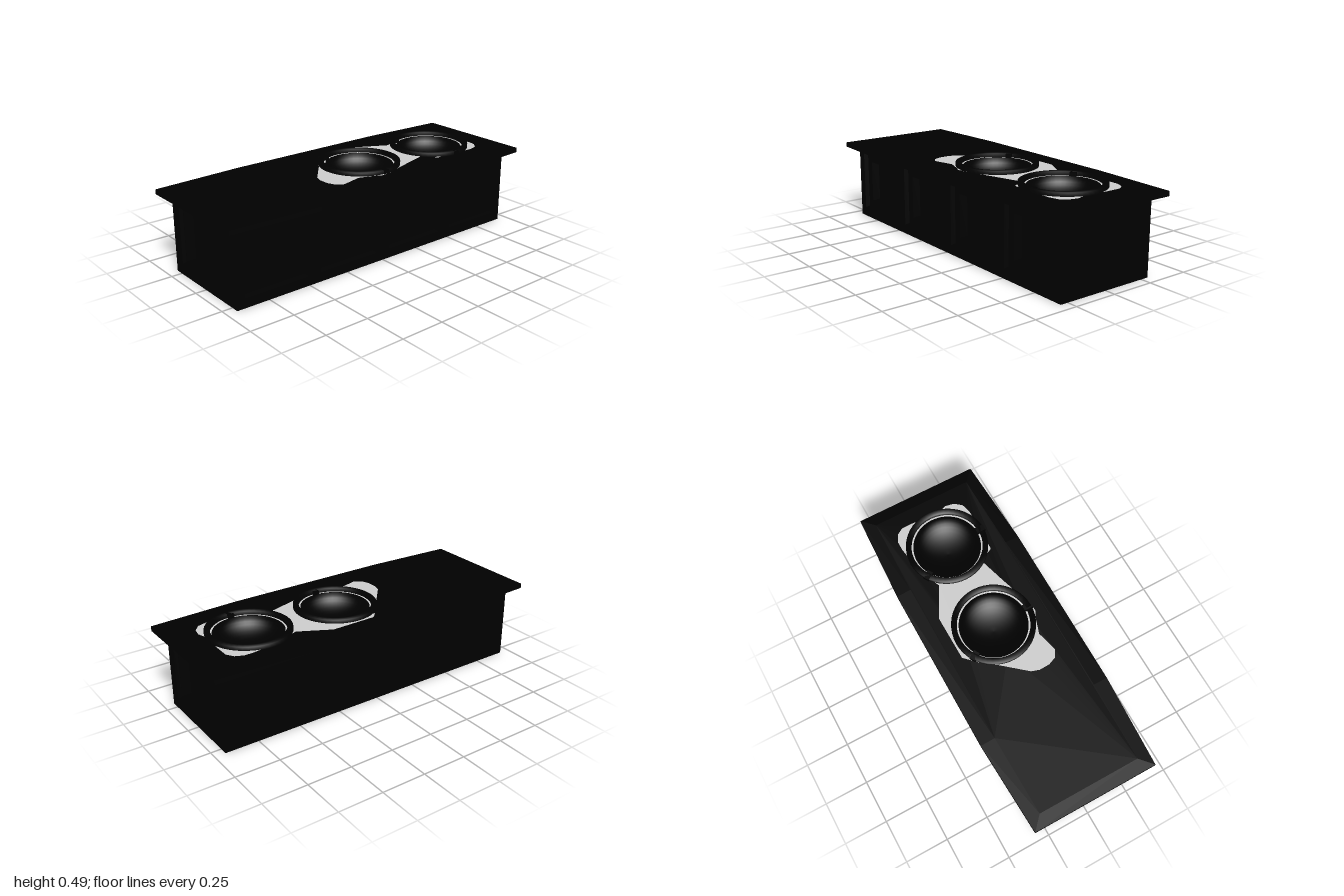
import * as THREE from 'three';

const black = new THREE.MeshStandardMaterial({ color: 0x000000, side: THREE.DoubleSide });
const grey = new THREE.MeshStandardMaterial({ color: 0xcccccc, side: THREE.DoubleSide });
const BOWLS = [0.075, 0.615];
const BOWL_R = 0.19;
const D = 0.07; // depth of the panelled faces

function add(parent, name, geometry, material = black) {
  const mesh = new THREE.Mesh(geometry, material);
  mesh.name = name;
  parent.add(mesh);
  return mesh;
}

// Polygon from [x, z] points, laid flat later with z pointing down the page
const planShape = (pts) => new THREE.Shape(pts.map(([x, z]) => new THREE.Vector2(x, -z)));

function cutBowls(shape) {
  for (const x of BOWLS) shape.holes.push(new THREE.Path().absarc(x, 0, BOWL_R, 0, Math.PI * 2, true));
  return shape;
}

// Quad strips joining rings of [x, y, z] corners
function loft(rings) {
  const pos = [];
  for (let l = 0; l < rings.length - 1; l++) {
    const [a, b] = [rings[l], rings[l + 1]];
    for (let i = 0; i < a.length; i++) {
      const j = (i + 1) % a.length;
      pos.push(...a[i], ...a[j], ...b[j], ...a[i], ...b[j], ...b[i]);
    }
  }
  const g = new THREE.BufferGeometry();
  g.setAttribute('position', new THREE.Float32BufferAttribute(pos, 3));
  g.computeVertexNormals();
  return g;
}

// Corners of a w by h rectangle
const corners = (cx, cy, w, h) => [[-1, -1], [1, -1], [1, 1], [-1, 1]].map(([i, j]) => [cx + i * w / 2, cy + j * h / 2]);

// Flat face at z = 0 with openings, each sinking through stepped [inset, z] levels
function panelledFace(name, width, centres, cy, w, h, steps) {
  const group = new THREE.Group();
  group.name = name;
  const toVectors = (pts) => pts.map(([x, y]) => new THREE.Vector2(x, y));
  const face = new THREE.Shape(toVectors(corners(0, 0.2125, width, 0.425)));
  for (const x of centres) {
    face.holes.push(new THREE.Path(toVectors(corners(x, cy, w, h))));
    const rings = steps.map(([inset, z]) => corners(x, cy, w - 2 * inset, h - 2 * inset).map((p) => [...p, z]));
    add(group, name + 'Moulding', loft(rings));
    const [inset, z] = steps[steps.length - 1];
    add(group, name + 'Panel', new THREE.PlaneGeometry(w - 2 * inset, h - 2 * inset).translate(x, cy, z));
  }
  add(group, name + 'Frame', new THREE.ShapeGeometry(face));
  return group;
}

// Countertop outline, slightly bowed along its long edges
const outline = (x, zEnd, zMid) => [
  [-x, zEnd], [-0.48, zMid], [0.48, zMid], [x, zEnd],
  [x, -zEnd], [0.48, -zMid], [-0.48, -zMid], [-x, -zEnd],
];

export function createModel() {
  const model = new THREE.Group();
  model.name = 'counter';

  // Cabinet back and base
  add(model, 'cabinetBack', new THREE.PlaneGeometry(1.88, 0.425).rotateY(Math.PI).translate(0, 0.2125, -0.295));
  add(model, 'cabinetBase', new THREE.PlaneGeometry(1.88, 0.59).rotateX(Math.PI / 2));

  // Front with four panels sunk in two steps
  const front = panelledFace('front', 1.88, [-0.7, -0.235, 0.235, 0.7], 0.2275, 0.38, 0.345,
    [[0, 0], [0.006, -0.025], [0.05, -0.025], [0.056, -D]]);
  front.position.z = 0.295;
  model.add(front);

  // Ends with one deep panel behind a narrow moulding
  for (const side of [-1, 1]) {
    const end = panelledFace(side > 0 ? 'leftEnd' : 'rightEnd', 0.59, [0], 0.2225, 0.46, 0.315,
      [[0, 0], [0.004, -0.02], [0.012, -0.02], [0.016, -D]]);
    end.position.x = side * 0.94;
    end.rotation.y = side * Math.PI / 2;
    model.add(end);
  }

  // Countertop with softened edges
  const level = (pts, y) => pts.map(([x, z]) => [x, y, z]);
  const under = outline(0.93, 0.285, 0.3);
  const rim = outline(1, 0.355, 0.381);
  const top = outline(0.93, 0.29, 0.3);
  add(model, 'countertopEdge', loft([level(under, 0.423), level(rim, 0.432), level(rim, 0.459), level(top, 0.465)]));
  add(model, 'countertop', new THREE.ShapeGeometry(cutBowls(planShape(top)), 32)
    .rotateX(-Math.PI / 2).translate(0, 0.465, 0));

  // Pale inlay around the bowls
  const inlay = cutBowls(planShape([
    [-0.21, 0.22], [-0.25, 0.195], [-0.268, 0.15], [-0.27, 0.09], [-0.255, 0.045], [-0.14, -0.09],
    [-0.09, -0.16], [-0.01, -0.24], [0.25, -0.243], [0.33, -0.2], [0.425, -0.15], [0.52, -0.195],
    [0.62, -0.215], [0.72, -0.23], [0.77, -0.23], [0.815, -0.21], [0.84, -0.17], [0.84, -0.08],
    [0.83, 0.06], [0.848, 0.11], [0.838, 0.16], [0.805, 0.2], [0.75, 0.215], [0.485, 0.208],
    [0.47, 0.18], [0.43, 0.13], [0.275, 0.175], [0.085, 0.235], [0.04, 0.24], [0, 0.22], [-0.09, 0.19],
  ]));
  add(model, 'inlay', new THREE.ShapeGeometry(inlay, 32).rotateX(-Math.PI / 2).translate(0, 0.467, 0), grey);

  // Raised rims with small tabs, and sunken bowls
  const rimProfile = [[0.2, 0.465], [0.23, 0.465], [0.23, 0.487], [0.2, 0.487], [0.2, 0.465]];
  const bowlProfile = [];
  for (let i = 0; i <= 10; i++) {
    const a = (i / 10) * Math.PI / 2;
    bowlProfile.push([BOWL_R * Math.sin(a), 0.466 - 0.1 * Math.cos(a)]);
  }
  const lathe = (pts) => new THREE.LatheGeometry(pts.map(([r, y]) => new THREE.Vector2(r, y)), 48);
  for (const x of BOWLS) {
    add(model, 'bowlRim', lathe(rimProfile)).position.x = x;
    add(model, 'bowl', lathe(bowlProfile)).position.x = x;
    for (const angle of [0, Math.PI * 0.82]) {
      const tab = add(model, 'rimTab', new THREE.BoxGeometry(0.035, 0.021, 0.05).translate(0, 0.4765, 0.21));
      tab.position.x = x;
      tab.rotation.y = -angle;
    }
  }
  return model;
}
